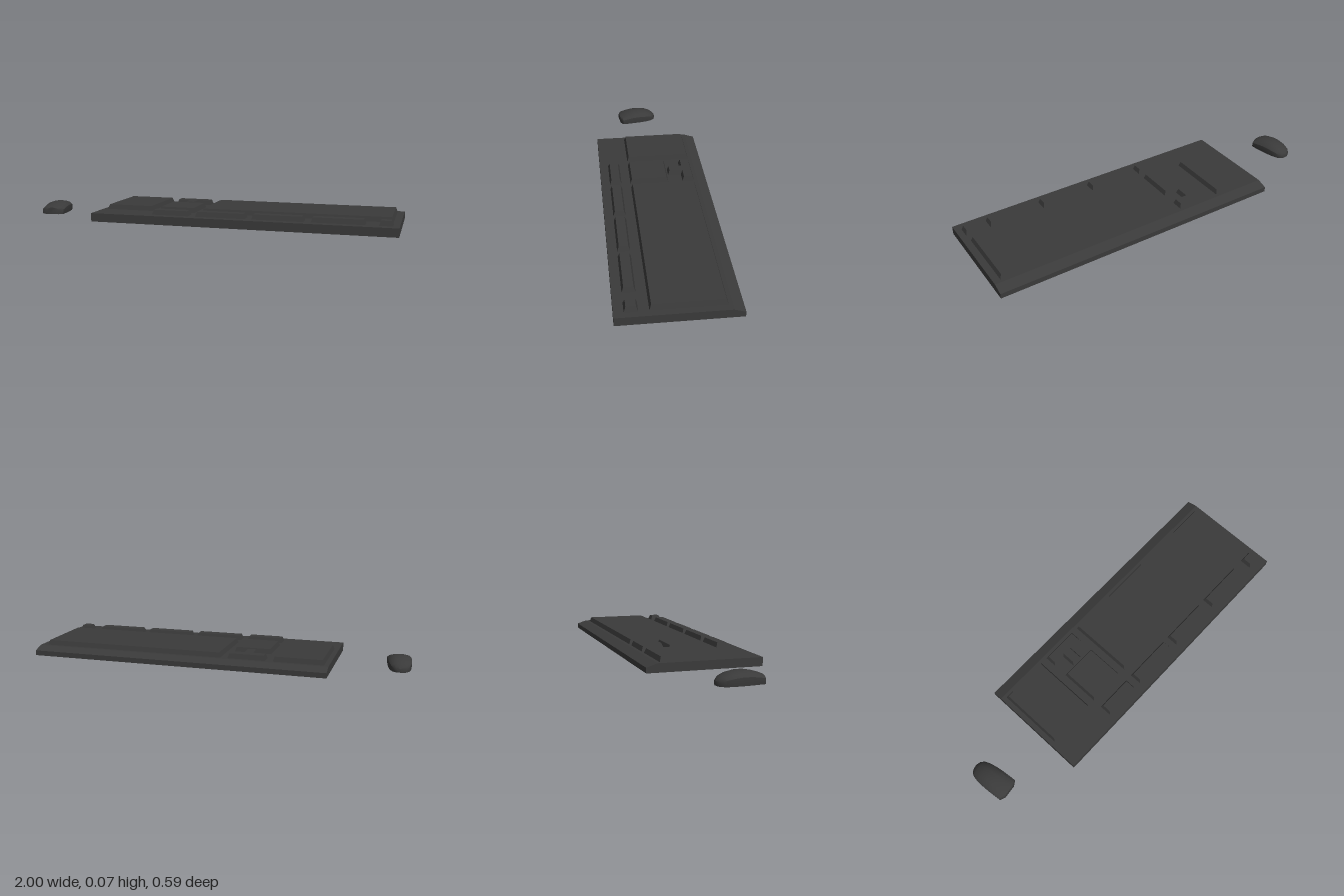
import * as THREE from 'three';
import { toCreasedNormals } from 'three/addons/utils/BufferGeometryUtils.js';

const charcoal = new THREE.MeshStandardMaterial({ color: 0x3a3a3a });
charcoal.name = 'charcoal plastic';

function part(name, geometry) {
  const mesh = new THREE.Mesh(geometry, charcoal);
  mesh.name = name;
  return mesh;
}

// Tapered key block: outline given in x,z, sides lean inwards towards the top.
function keyBlock(name, outline) {
  const inset = 0.009, rise = 0.026, depth = 0.002, top = 0.07;
  const shape = new THREE.Shape(outline.map(([x, z]) => new THREE.Vector2(x, -z)));
  const geometry = new THREE.ExtrudeGeometry(shape, {
    depth, bevelEnabled: true, bevelSegments: 1,
    bevelThickness: rise, bevelSize: inset, bevelOffset: -inset,
  });
  geometry.rotateX(-Math.PI / 2);
  geometry.translate(0, top - rise - depth, 0);
  return part(name, geometry);
}

const rect = (x0, x1, z0, z1) => [[x0, z0], [x0, z1], [x1, z1], [x1, z0]];

// Slab with a sloping rear edge, profile in z,y swept along x.
function createBase() {
  const x0 = -0.605, x1 = 1;
  const profile = [[-0.295, 0], [0.295, 0], [0.295, 0.045], [-0.24, 0.045], [-0.295, 0.027]];
  const shape = new THREE.Shape(profile.map(([z, y]) => new THREE.Vector2(-z, y)));
  const geometry = new THREE.ExtrudeGeometry(shape, { depth: x1 - x0, bevelEnabled: false });
  geometry.rotateY(Math.PI / 2);
  geometry.translate(x0, 0, 0);
  return part('keyboardBase', geometry);
}

// Mouse body lofted from arched cross-sections: [distance from rear, half width, height].
function createMouse() {
  const sections = [
    [0, 0.014, 0.02], [0.007, 0.03, 0.03], [0.025, 0.046, 0.043], [0.06, 0.056, 0.056],
    [0.1, 0.06, 0.062], [0.14, 0.062, 0.061], [0.18, 0.0625, 0.053],
    [0.212, 0.062, 0.043], [0.225, 0.035, 0.037],
  ];
  const arch = [[-0.97, 0], [-1, 0.15], [-1, 0.62], [-0.8, 0.85], [-0.42, 0.97], [0, 1],
    [0.42, 0.97], [0.8, 0.85], [1, 0.62], [1, 0.15], [0.97, 0]];
  const n = arch.length, last = (sections.length - 1) * n;
  const points = [], faces = [];
  for (const [s, w, h] of sections) {
    for (const [x, y] of arch) points.push(x * w, y * h, s);
  }
  for (let i = 0; i < sections.length - 1; i++) {
    for (let j = 0; j < n; j++) {
      const a = i * n + j, b = i * n + (j + 1) % n;
      faces.push(a, a + n, b, b, a + n, b + n);
    }
  }
  // End caps
  for (let j = 1; j < n - 1; j++) {
    faces.push(0, j, j + 1, last, last + j + 1, last + j);
  }
  const geometry = new THREE.BufferGeometry();
  geometry.setAttribute('position', new THREE.Float32BufferAttribute(points, 3));
  geometry.setIndex(faces);
  const mouse = part('mouse', toCreasedNormals(geometry, 0.6));
  mouse.position.set(-0.949, 0, -0.085);
  mouse.rotation.y = 0.12;
  return mouse;
}

export function createModel() {
  const model = new THREE.Group();
  model.name = 'keyboardAndMouse';

  const keyboard = new THREE.Group();
  keyboard.name = 'keyboard';
  keyboard.add(createBase());

  // Large blocks
  keyboard.add(
    keyBlock('numberPad', rect(-0.58, -0.316, -0.222, 0.134)),
    keyBlock('mainKeys', rect(-0.037, 0.964, -0.222, 0.134)),
    keyBlock('navigationKeys', rect(-0.276, -0.075, -0.078, 0.134)),
    keyBlock('arrowKeys', [
      [-0.276, -0.222], [-0.276, -0.157], [-0.208, -0.157], [-0.208, -0.084],
      [-0.144, -0.084], [-0.144, -0.157], [-0.075, -0.157], [-0.075, -0.222],
    ]),
  );

  // Row of function key blocks along the front
  const row = [[-0.276, -0.075], [-0.037, 0.229], [0.263, 0.53], [0.567, 0.835], [0.9, 0.968]];
  row.forEach(([x0, x1], i) => {
    keyboard.add(keyBlock(`functionKeys${i + 1}`, rect(x0, x1, 0.183, 0.248)));
  });

  model.add(keyboard, createMouse());
  return model;
}
